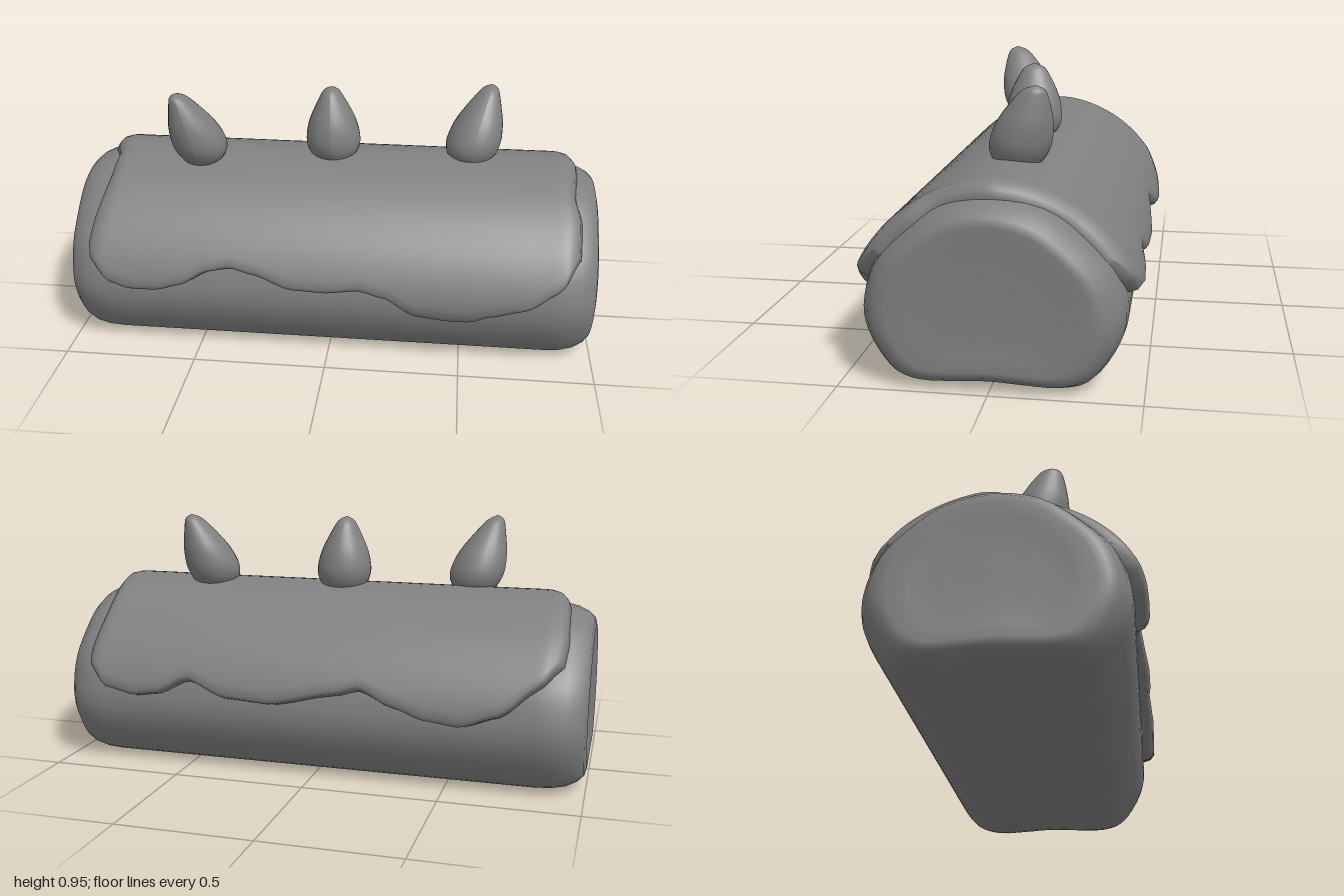
import * as THREE from 'three';

const material = new THREE.MeshStandardMaterial({ color: 0x808080 });

// Smooth surface over a rows x cols lattice; wrap closes the columns.
function lattice(rows, cols, wrap, point) {
  const pos = [], index = [];
  for (let i = 0; i < rows; i++) for (let j = 0; j < cols; j++) pos.push(...point(i, j));
  for (let i = 0; i < rows - 1; i++) {
    for (let j = 0; j < (wrap ? cols : cols - 1); j++) {
      const k = (j + 1) % cols;
      const a = i * cols + j, b = i * cols + k, c = (i + 1) * cols + k, d = (i + 1) * cols + j;
      index.push(a, b, d, b, c, d);
    }
  }
  const g = new THREE.BufferGeometry();
  g.setAttribute('position', new THREE.Float32BufferAttribute(pos, 3));
  g.setIndex(index);
  g.computeVertexNormals();
  return g;
}

function named(geometry, name, mat = material) {
  const mesh = new THREE.Mesh(geometry, mat);
  mesh.name = name;
  return mesh;
}

// Smooth interpolation through [x, value] pairs.
function along(pairs, x) {
  if (x <= pairs[0][0]) return pairs[0][1];
  for (let i = 1; i < pairs.length; i++) {
    const [x0, v0] = pairs[i - 1], [x1, v1] = pairs[i];
    if (x <= x1) return THREE.MathUtils.lerp(v0, v1, THREE.MathUtils.smoothstep(x, x0, x1) * 0.5 + 0.5 * (x - x0) / (x1 - x0));
  }
  return pairs[pairs.length - 1][1];
}

// Loaf: rounded section with a flat, faintly dented base and soft ends
function makeLoaf() {
  const half = [[0.12, 0.006], [0.25, 0.004], [0.33, 0.03], [0.4, 0.12], [0.435, 0.21],
    [0.435, 0.29], [0.395, 0.41], [0.3, 0.515], [0.17, 0.61]];
  const loop = [[0, 0.012], ...half.map(([z, y]) => [-z, y]), [0, 0.645], ...half.slice().reverse()];
  const curve = new THREE.CatmullRomCurve3(loop.map(([z, y]) => new THREE.Vector3(0, y, z)), true);
  const cols = 60;
  const section = curve.getPoints(cols).slice(0, cols);
  const end = [[0.99, 0], [0.99, 0.35], [0.993, 0.6], [1, 0.76], [0.993, 0.84], [0.97, 0.905],
    [0.93, 0.96], [0.88, 0.99], [0.82, 1]];
  const stations = [...end.map(([x, s]) => [-x, s]), [-0.4, 1], [0, 1], [0.4, 1], ...end.slice().reverse()];
  return lattice(stations.length, cols, true, (i, j) => {
    const [x, s] = stations[i], p = section[j];
    return [x, 0.3 + (p.y - 0.3) * s, p.z * s];
  });
}

// Icing: arched sheet with wavy drips front and back, its rim tucked into the loaf
function makeIcing() {
  const frontEdge = [[-0.92, 0.46], [-0.89, 0.37], [-0.82, 0.295], [-0.74, 0.27], [-0.64, 0.27], [-0.55, 0.295],
    [-0.44, 0.355], [-0.36, 0.37], [-0.27, 0.35], [-0.13, 0.3], [0, 0.295], [0.12, 0.31], [0.22, 0.285],
    [0.33, 0.21], [0.45, 0.195], [0.53, 0.195], [0.6, 0.225], [0.73, 0.265], [0.85, 0.345], [0.92, 0.46]];
  const backEdge = [[-0.92, 0.5], [-0.85, 0.42], [-0.72, 0.31], [-0.58, 0.26], [-0.45, 0.275], [-0.33, 0.315],
    [-0.2, 0.37], [-0.11, 0.345], [0.14, 0.29], [0.32, 0.3], [0.48, 0.36], [0.6, 0.3], [0.7, 0.285],
    [0.82, 0.31], [0.89, 0.38], [0.92, 0.46]];
  const leftEnd = [[-0.48, 0.9], [-0.3, 0.89], [0, 0.925], [0.2, 0.91], [0.3, 0.93], [0.48, 0.925]];
  const rightEnd = [[-0.48, 0.9], [-0.3, 0.92], [-0.05, 0.91], [0.07, 0.875], [0.2, 0.875], [0.48, 0.92]];

  const width = (y) => {
    if (y < 0.27) return 0.488 - (0.27 - y) * 0.2;
    const t = Math.min(1, (y - 0.27) / 0.42);
    return 0.488 * Math.pow(1 - Math.pow(t, 1.75), 1 / 1.75);
  };
  // [parameter, tuck] lists whose outer steps form the rolled rim
  const steps = (n, rim) => {
    const list = [];
    for (let i = 0; i <= n; i++) list.push([(-1 + 2 * i / n) * (1 - rim), 0]);
    return [[-1 + rim * 0.6, 0.2], [-1, 0.1], [-1 + rim * 0.35, 0.035], ...list,
      [1 - rim * 0.35, 0.035], [1, 0.1], [1 - rim * 0.6, 0.2]];
  };
  const us = steps(72, 0.03), vs = steps(36, 0.045);
  return lattice(us.length, vs.length, false, (i, j) => {
    const [u, tu] = us[i], [v, tv] = vs[j];
    const edge = along(v < 0 ? backEdge : frontEdge, u * 0.92);
    const y = edge + (0.69 - edge) * Math.cos(v * Math.PI / 2);
    const z = Math.sign(v) * width(y);
    const x = u * along(u < 0 ? rightEnd : leftEnd, z);
    const s = 1 - Math.max(tu, tv) - 0.03 * THREE.MathUtils.smoothstep(Math.abs(u), 0.93, 1);
    return [x, 0.27 + (y - 0.27) * s, z * s];
  });
}

// Dollop: teardrop, pinched wider in z toward a leaning tip
function makeDollop(x, y, z, leanX, leanZ) {
  const profile = [[0.001, -0.03], [0.06, -0.025], [0.093, 0.01], [0.105, 0.05], [0.102, 0.09], [0.09, 0.135],
    [0.07, 0.18], [0.047, 0.225], [0.029, 0.253], [0.001, 0.268]];
  const curve = new THREE.SplineCurve(profile.map(([r, h]) => new THREE.Vector2(r, h)));
  const g = new THREE.LatheGeometry(curve.getPoints(24).map((p) => p.set(Math.max(p.x, 0.0005), p.y)), 24);
  const pos = g.attributes.position;
  for (let i = 0; i < pos.count; i++) {
    const h = pos.getY(i), t = Math.max(0, h / 0.268);
    const bend = Math.pow(t, 1.4);
    pos.setXYZ(i, pos.getX(i) + leanX * bend, h, pos.getZ(i) * (1.03 + 0.3 * t * t) + leanZ * bend);
  }
  g.computeVertexNormals();
  g.translate(x, y, z);
  return g;
}

export function createModel() {
  const group = new THREE.Group();
  group.name = 'icedRollCake';
  group.add(named(makeLoaf(), 'loaf'));
  const icingMaterial = material.clone();
  icingMaterial.side = THREE.DoubleSide;
  group.add(named(makeIcing(), 'icing', icingMaterial));
  group.add(named(makeDollop(-0.525, 0.682, 0.09, -0.075, 0.07), 'rightDollop'));
  group.add(named(makeDollop(-0.02, 0.678, 0, -0.01, 0), 'middleDollop'));
  group.add(named(makeDollop(0.515, 0.678, -0.025, 0.07, -0.07), 'leftDollop'));
  return group;
}
